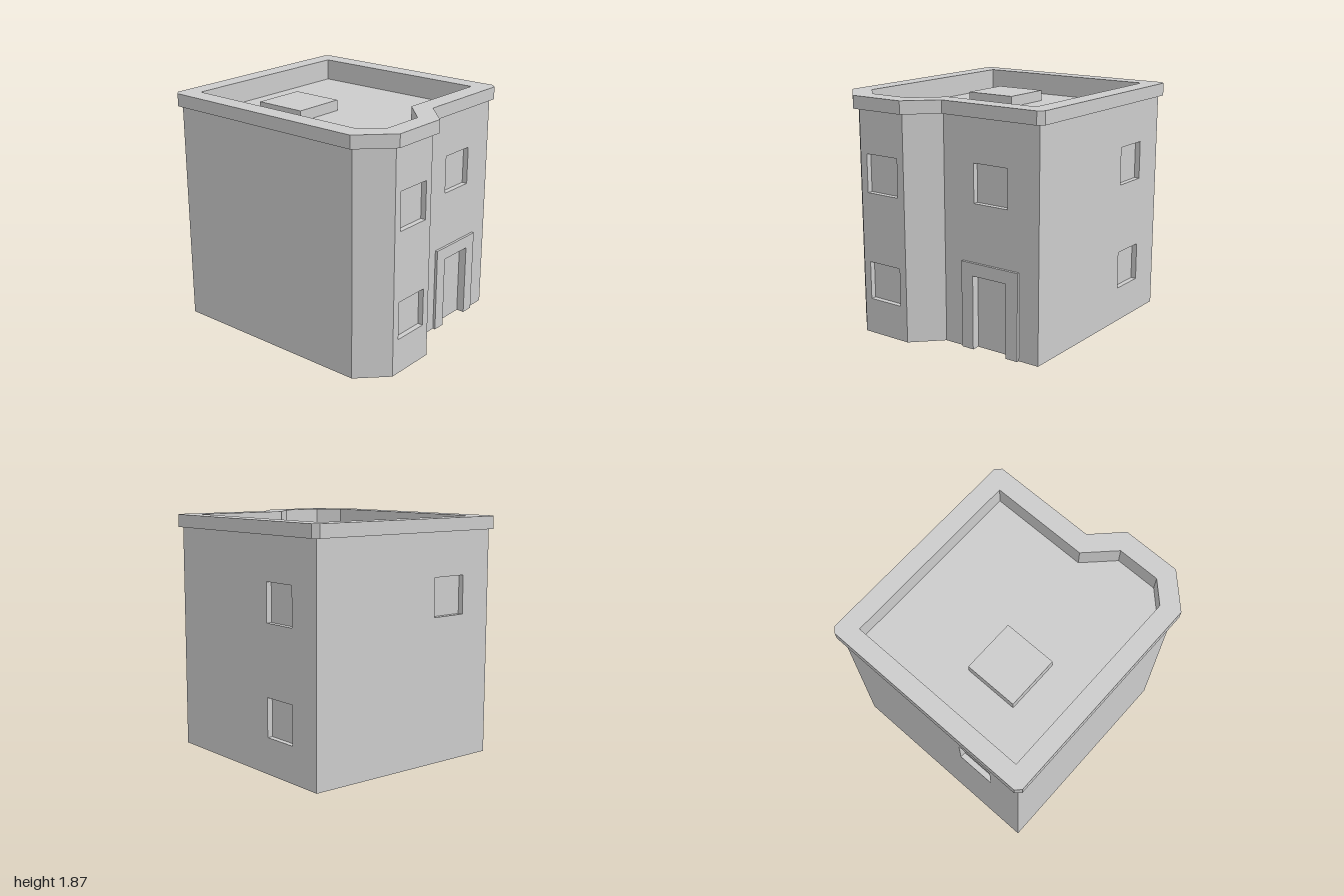
import * as THREE from 'three';

const FLOOR = 1.7, CORNICE = 1.77, TOP = 1.87;
const WIN = 0.3, RECESS = 0.043, FRAME = 0.021, DOOR_H = 0.58;

// Plan outlines as [x, z], running left to right as seen from outside
const footprint = [[-0.85, 0.744], [-0.637, 0.956], [-0.213, 0.956], [0, 0.744],
  [0.85, 0.744], [0.85, -0.956], [-0.85, -0.956]];
const corniceOuter = [[-0.893, 0.762], [-0.655, 1], [-0.195, 1], [0.018, 0.786], [0.85, 0.786],
  [0.893, 0.744], [0.893, -0.96], [0.853, -1], [-0.853, -1], [-0.893, -0.96]];
const roofInner = [[-0.745, 0.7], [-0.595, 0.85], [-0.257, 0.85], [-0.043, 0.637],
  [0.744, 0.637], [0.744, -0.858], [-0.745, -0.858]];

// Openings per wall: u is the centre along the wall, y the sill height
const openings = {
  1: [{ u: 0.212, y: 0.28 }, { u: 0.212, y: 1.13 }],
  4: [{ u: 1.275, y: 0.28 }, { u: 1.275, y: 1.13 }],
  5: [{ u: 1.275, y: 1.13 }],
  3: [{ u: 0.425, y: 1.13 }, { u: 0.425, y: 0, door: true }],
};

const material = new THREE.MeshStandardMaterial({ color: 0xcccccc });

const shapeOf = (pts) => new THREE.Shape(pts.map(([x, y]) => new THREE.Vector2(x, y)));
const planShape = (pts) => shapeOf(pts.map(([x, z]) => [x, -z]));

function add(parent, geometry, name) {
  const mesh = new THREE.Mesh(geometry, material);
  mesh.name = name;
  parent.add(mesh);
  return mesh;
}

// Horizontal ring between two plan outlines
function ring(outer, inner, y0, y1) {
  const shape = planShape(outer);
  shape.holes.push(planShape(inner));
  return new THREE.ExtrudeGeometry(shape, { depth: y1 - y0, bevelEnabled: false })
    .rotateX(-Math.PI / 2).translate(0, y0, 0);
}

// Inward-facing box without its front, and without its bottom for a door
function recess(w, h, openBottom) {
  const box = new THREE.BoxGeometry(w, h, RECESS);
  const index = Array.from(box.index.array);
  const keep = index.filter((_, i) => {
    const face = Math.floor(i / 6);
    return face !== 4 && !(openBottom && face === 3);
  });
  box.setIndex(keep.reverse());
  box.clearGroups();
  box.computeVertexNormals();
  return box.translate(0, h / 2, -RECESS / 2);
}

// U-shaped surround standing proud of the wall
function doorFrame() {
  const a = WIN / 2, b = 0.255, h = 0.68;
  const shape = shapeOf([[-b, 0], [-a, 0], [-a, DOOR_H], [a, DOOR_H], [a, 0], [b, 0], [b, h], [-b, h]]);
  return new THREE.ExtrudeGeometry(shape, { depth: FRAME, bevelEnabled: false });
}

// One flat wall from a to b, pierced by its openings
function wall([ax, az], [bx, bz], list = []) {
  const group = new THREE.Group();
  group.name = 'wall';
  const length = Math.hypot(bx - ax, bz - az);
  const outline = [[0, 0]];
  for (const { u } of list.filter((o) => o.door)) {
    const l = u - WIN / 2, r = u + WIN / 2;
    outline.push([l, 0], [l, DOOR_H], [r, DOOR_H], [r, 0]);
  }
  outline.push([length, 0], [length, FLOOR], [0, FLOOR]);
  const shape = shapeOf(outline);
  for (const { u, y, door } of list) {
    const l = u - WIN / 2, r = u + WIN / 2;
    if (!door) shape.holes.push(shapeOf([[l, y], [l, y + WIN], [r, y + WIN], [r, y]]));
    const h = door ? DOOR_H : WIN;
    add(group, recess(WIN, h, door), door ? 'door' : 'window').position.set(u, y, 0);
    if (door) add(group, doorFrame(), 'doorFrame').position.set(u, 0, 0);
  }
  add(group, new THREE.ShapeGeometry(shape), 'wallFace');
  group.position.set(ax, 0, az);
  group.rotation.y = Math.atan2(az - bz, bx - ax);
  return group;
}

export function createModel() {
  const model = new THREE.Group();
  model.name = 'building';

  // Walls with windows and door
  footprint.forEach((p, i) => {
    model.add(wall(p, footprint[(i + 1) % footprint.length], openings[i]));
  });

  // Underside, notched at the doorway
  const zIn = 0.744 - RECESS;
  const base = [...footprint.slice(0, 4), [0.275, 0.744], [0.275, zIn], [0.575, zIn],
    [0.575, 0.744], ...footprint.slice(4)];
  add(model, new THREE.ShapeGeometry(shapeOf(base)).rotateX(Math.PI / 2), 'underside');

  // Sunken roof, parapet and cornice
  add(model, new THREE.ShapeGeometry(planShape(roofInner)).rotateX(-Math.PI / 2), 'roof').position.y = FLOOR;
  add(model, ring(footprint, roofInner, FLOOR, CORNICE), 'parapet');
  add(model, ring(corniceOuter, roofInner, CORNICE, TOP), 'cornice');

  // Roof hatch
  add(model, new THREE.BoxGeometry(0.425, 0.085, 0.425), 'roofHatch')
    .position.set(-0.217, FLOOR + 0.0425, -0.322);

  return model;
}
